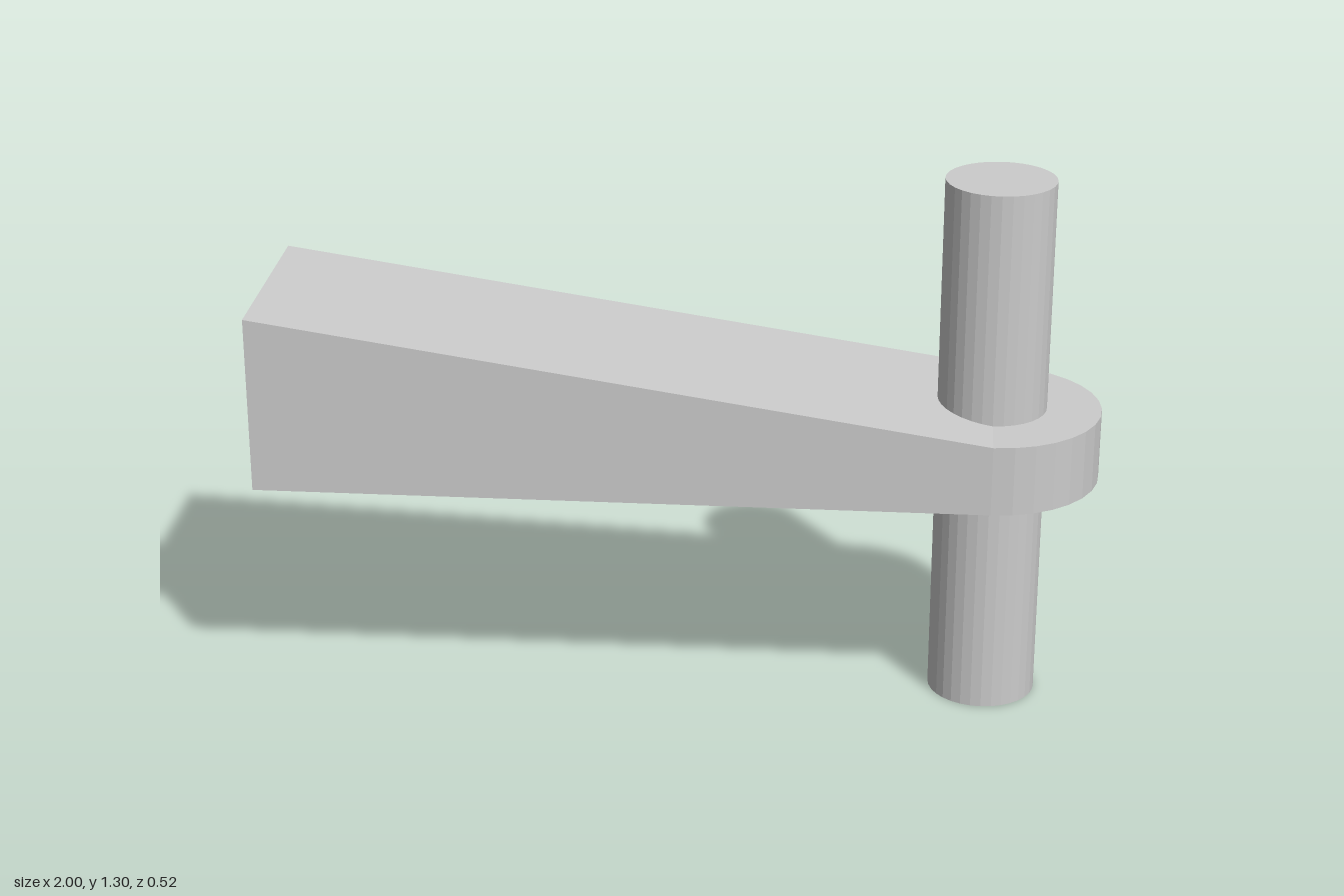
import * as THREE from 'three';

export function createModel() {
  const group = new THREE.Group();
  const material = new THREE.MeshStandardMaterial({ color: 0xcccccc, flatShading: true });
  const pinX = 0.74, bottom = 0.57, bossTop = 0.74, halfWidth = 0.26;

  const add = (name, geometry) => {
    const mesh = new THREE.Mesh(geometry, material);
    mesh.name = name;
    group.add(mesh);
    return mesh;
  };

  // Upright round part centred on the pin axis
  const addRound = (name, radius, y0, y1) => {
    const mesh = add(name, new THREE.CylinderGeometry(radius, radius, y1 - y0, 32));
    mesh.position.set(pinX, (y0 + y1) / 2, 0);
  };

  addRound('pin', 0.13, 0, 1.305);
  addRound('boss', halfWidth, bottom, bossTop);

  // Wedge arm: side profile extruded across the width, sloping down to the boss
  const profile = new THREE.Shape([
    new THREE.Vector2(-1, bottom),
    new THREE.Vector2(pinX, bottom),
    new THREE.Vector2(pinX, bossTop),
    new THREE.Vector2(-1, 1),
  ]);
  const arm = new THREE.ExtrudeGeometry(profile, { depth: halfWidth * 2, bevelEnabled: false });
  arm.translate(0, 0, -halfWidth);
  add('taperedArm', arm);

  return group;
}
